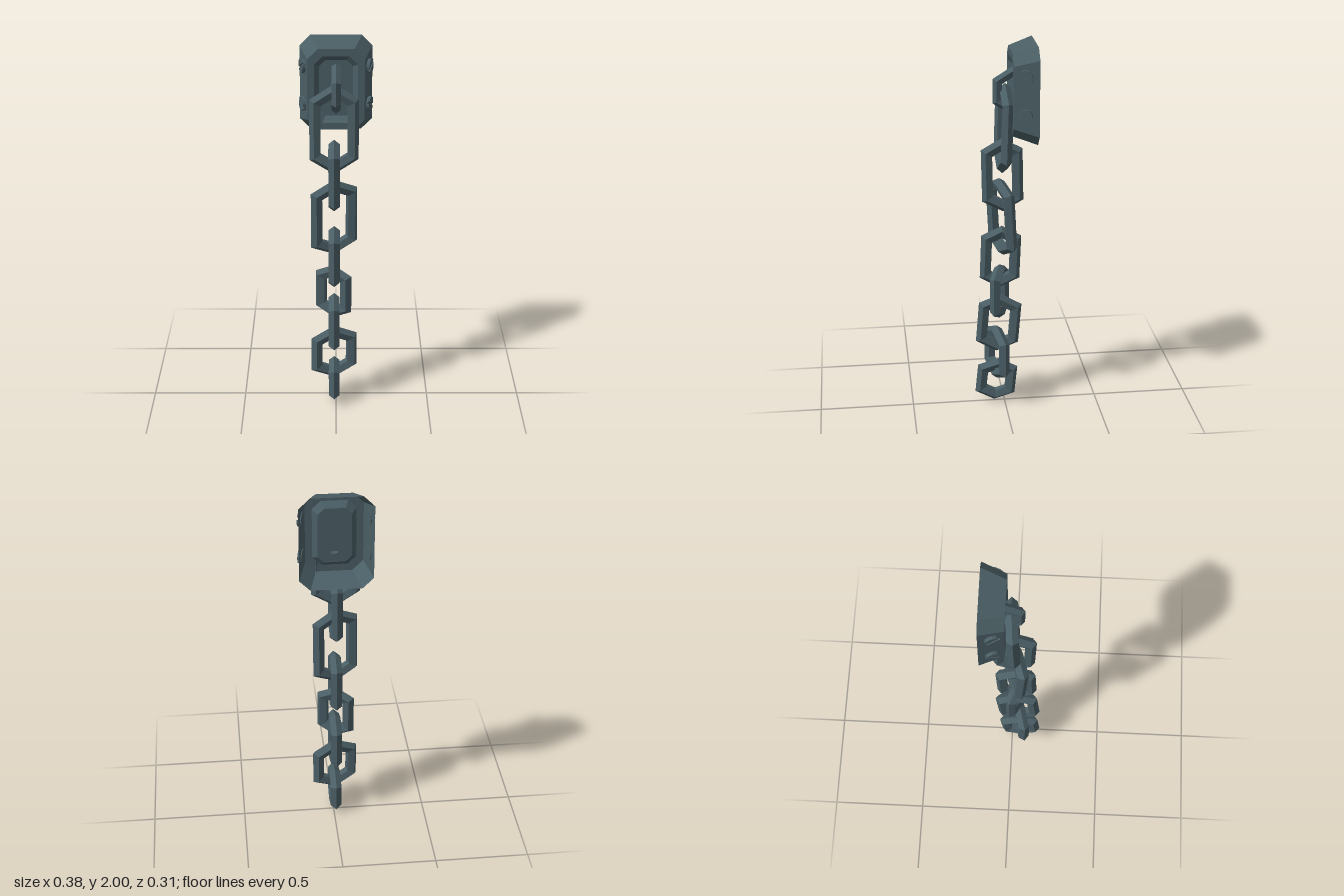
import * as THREE from 'three';

const iron = new THREE.MeshStandardMaterial({ color: 0x4a5e65, flatShading: true });
const ironSheet = new THREE.MeshStandardMaterial({ color: 0x4a5e65, flatShading: true, side: THREE.DoubleSide });

function addMesh(parent, name, geometry, material = iron) {
  const mesh = new THREE.Mesh(geometry, material);
  mesh.name = name;
  parent.add(mesh);
  return mesh;
}

// Stitches neighbouring rings of points into a flat-shaded skin
function skin(rings, closedLoop, capped = false) {
  const tris = [];
  const spans = closedLoop ? rings.length : rings.length - 1;
  for (let i = 0; i < spans; i++) {
    const a = rings[i], b = rings[(i + 1) % rings.length];
    for (let j = 0; j < a.length; j++) {
      const k = (j + 1) % a.length;
      tris.push(a[j], a[k], b[j], b[j], a[k], b[k]);
    }
  }
  if (capped) {
    const last = rings[rings.length - 1];
    for (let j = 1; j < last.length - 1; j++) tris.push(last[0], last[j], last[j + 1]);
  }
  const geometry = new THREE.BufferGeometry().setFromPoints(tris);
  geometry.computeVertexNormals();
  return geometry;
}

// Mitred five-sided bar along a counter-clockwise path in the xy plane, ridge outward
function bar(path, radius, closedLoop) {
  const pts = path.map(([x, y]) => new THREE.Vector2(x, y));
  const n = pts.length;
  const edgeNormal = (i) => {
    const d = pts[(i + 1) % n].clone().sub(pts[i]).normalize();
    return new THREE.Vector2(d.y, -d.x);
  };
  const rings = pts.map((p, i) => {
    let before = edgeNormal((i + n - 1) % n), after = edgeNormal(i);
    if (!closedLoop && i === 0) before = after;
    if (!closedLoop && i === n - 1) after = before;
    const miter = before.clone().add(after).divideScalar(1 + before.dot(after));
    return Array.from({ length: 5 }, (_, j) => {
      const a = (-j / 5) * Math.PI * 2;
      const out = Math.cos(a) * radius;
      return new THREE.Vector3(p.x + miter.x * out, p.y + miter.y * out, Math.sin(a) * radius);
    });
  });
  return skin(rings, closedLoop);
}

// Six-cornered link from its outer half width, half height and end rise
function linkGeometry(w, h, rise) {
  const r = 0.031;
  const slope = Math.hypot(w, rise) / w;
  const cw = w - r, ch = h - r * slope;
  const cs = ch - (rise * cw) / w;
  return bar([[cw, -cs], [cw, cs], [0, ch], [-cw, cs], [-cw, -cs], [0, -ch]], r, true);
}

function octagon(w, h, c, z) {
  return [[w, -h + c], [w, h - c], [w - c, h], [-w + c, h], [-w, h - c], [-w, -h + c], [-w + c, -h], [w - c, -h]]
    .map(([x, y]) => new THREE.Vector3(x, y, z));
}

// Slotted screw head facing local +z
function screw() {
  const group = new THREE.Group();
  const r = 0.037, gap = 0.006;
  const base = addMesh(group, 'screwBase', new THREE.CylinderGeometry(r, r, 0.012, 12));
  base.rotation.x = Math.PI / 2;
  const start = Math.asin(gap / r);
  const half = new THREE.Shape(Array.from({ length: 7 }, (_, i) => {
    const a = start + (i / 6) * (Math.PI - 2 * start);
    return new THREE.Vector2(Math.cos(a) * r, Math.sin(a) * r);
  }));
  const halfGeometry = new THREE.ExtrudeGeometry(half, { depth: 0.009, bevelEnabled: false });
  for (const turn of [0, Math.PI]) {
    const part = addMesh(group, 'screwHeadHalf', halfGeometry);
    part.position.z = 0.006;
    part.rotation.z = turn;
  }
  return group;
}

export function createModel() {
  const model = new THREE.Group();
  model.name = 'wallChain';

  // Hollow wall plate with a recessed centre, open at the back
  const plate = addMesh(model, 'wallPlate', skin([
    octagon(0.185, 0.25, 0.055, -0.155),
    octagon(0.145, 0.212, 0.053, -0.03),
    octagon(0.11, 0.175, 0.042, -0.03),
    octagon(0.085, 0.147, 0.032, -0.06),
  ], false, true), ironSheet);
  plate.position.y = 1.75;

  // Two screws on each sloping side
  for (const side of [-1, 1]) {
    for (const y of [1.86, 1.66]) {
      const mount = new THREE.Group();
      mount.name = 'screw';
      mount.position.set(side * 0.165, y, -0.087);
      mount.rotation.y = side * (Math.PI / 2 - 0.31);
      const head = screw();
      head.rotation.z = y > 1.8 ? 0.5 : -0.4;
      mount.add(head);
      model.add(mount);
    }
  }

  // Staple holding the first link
  const staple = addMesh(model, 'staple',
    bar([[-0.06, 1.64], [0.035, 1.7], [0.035, 1.8], [-0.06, 1.86]], 0.025, false));
  staple.rotation.y = -Math.PI / 2;

  // Links from top to bottom: x, bottom, top, z, half width, end rise, yaw, tilt
  const across = -Math.PI / 2;
  const links = [
    [-0.01, 1.31, 1.79, 0.003, 0.126, 0.08, 0.06, -0.03],
    [-0.01, 1.10, 1.50, 0.01, 0.108, 0.06, across, 0.02],
    [-0.01, 0.855, 1.285, 0.015, 0.128, 0.06, 0.36, 0.05],
    [-0.01, 0.67, 1.02, 0.02, 0.106, 0.055, across, -0.04],
    [-0.013, 0.49, 0.80, 0.025, 0.102, 0.05, -0.4, 0],
    [-0.01, 0.295, 0.63, 0.03, 0.115, 0.055, across, -0.08],
    [-0.01, 0.13, 0.445, 0.04, 0.127, 0.06, 0.28, 0],
    [-0.01, 0, 0.25, 0.043, 0.108, 0.045, across, -0.1],
  ];
  links.forEach(([x, bottom, top, z, w, rise, yaw, tilt], i) => {
    const link = addMesh(model, `chainLink${i + 1}`, linkGeometry(w, (top - bottom) / 2, rise));
    link.position.set(x, (top + bottom) / 2, z);
    link.rotation.set(tilt, yaw, 0);
  });

  return model;
}
